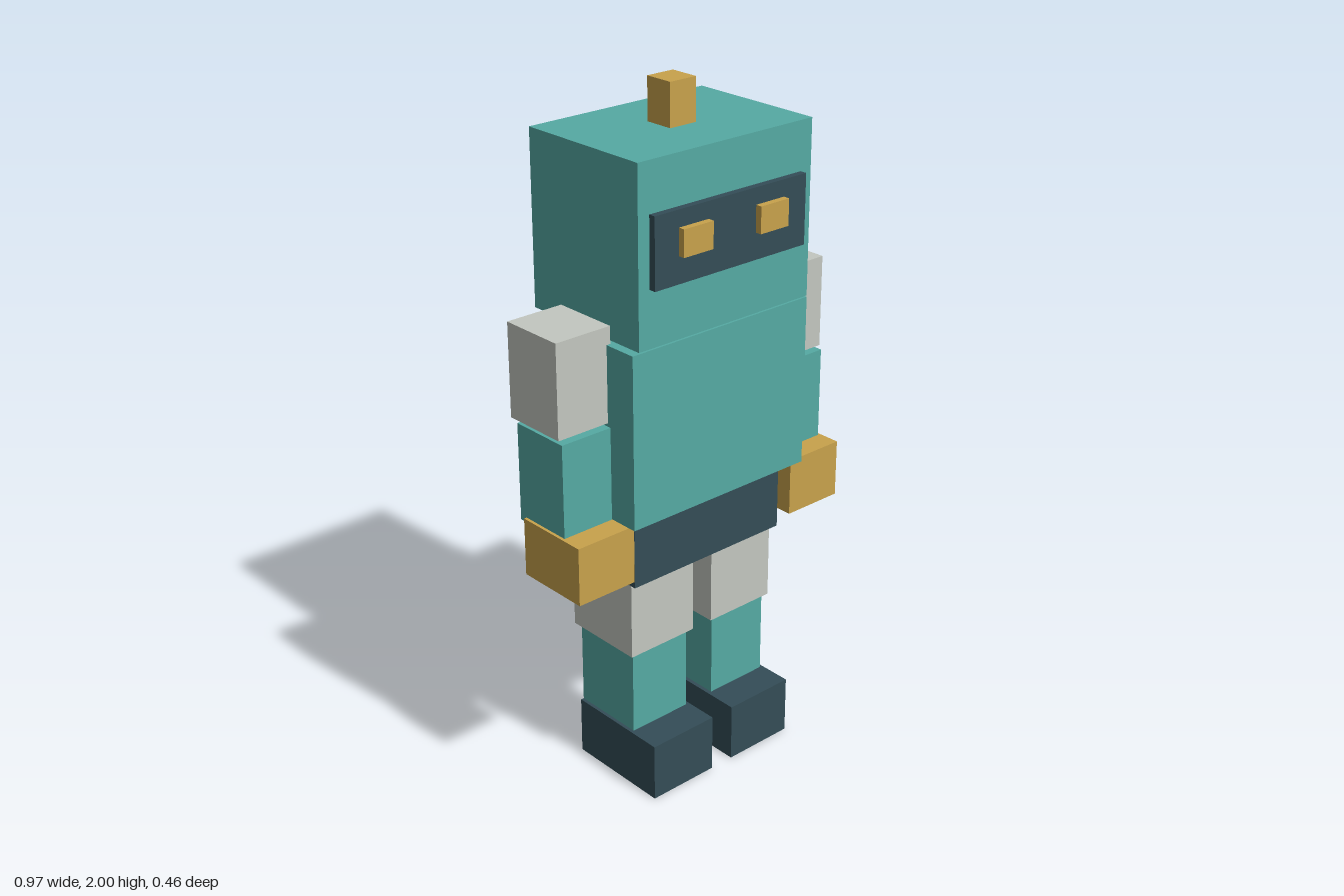
import * as THREE from 'three';

const material = (name, color) => {
  const m = new THREE.MeshStandardMaterial({ color });
  m.name = name;
  return m;
};

export function createModel() {
  const teal = material('teal', 0x55aaa3);
  const grey = material('light grey', 0xc3c7c0);
  const gold = material('gold', 0xc8a24c);
  const dark = material('dark slate', 0x344d57);

  const robot = new THREE.Group();
  robot.name = 'robot';

  // Box given by its extents: [min, max] on each axis
  const block = (parent, name, mat, [x0, x1], [y0, y1], [z0, z1]) => {
    const mesh = new THREE.Mesh(new THREE.BoxGeometry(x1 - x0, y1 - y0, z1 - z0), mat);
    mesh.position.set((x0 + x1) / 2, (y0 + y1) / 2, (z0 + z1) / 2);
    mesh.name = name;
    parent.add(mesh);
  };

  // Head and body
  block(robot, 'antenna', gold, [-0.044, 0.044], [1.88, 2], [-0.065, 0.023]);
  block(robot, 'head', teal, [-0.3, 0.3], [1.385, 1.88], [-0.232, 0.191]);
  block(robot, 'visor', dark, [-0.263, 0.263], [1.545, 1.742], [0.191, 0.211]);
  block(robot, 'torso', teal, [-0.312, 0.312], [0.876, 1.375], [-0.22, 0.18]);
  block(robot, 'pelvis', dark, [-0.27, 0.27], [0.665, 0.876], [-0.165, 0.13]);

  // Paired parts, mirrored across x
  for (const [side, s] of [['left', 1], ['right', -1]]) {
    const span = (a, b) => (s > 0 ? [a, b] : [-b, -a]);

    block(robot, `${side}Eye`, gold, span(0.083, 0.183), [1.62, 1.695], [0.211, 0.23]);

    const arm = new THREE.Group();
    arm.name = `${side}Arm`;
    block(arm, 'upperArm', grey, span(0.299, 0.477), [1.155, 1.425], [-0.12, 0.078]);
    block(arm, 'forearm', teal, span(0.302, 0.474), [0.86, 1.145], [-0.098, 0.088]);
    block(arm, 'hand', gold, span(0.293, 0.483), [0.705, 0.875], [-0.073, 0.156]);

    const leg = new THREE.Group();
    leg.name = `${side}Leg`;
    block(leg, 'thigh', grey, span(0.035, 0.263), [0.43, 0.665], [-0.145, 0.106]);
    block(leg, 'shin', teal, span(0.05, 0.25), [0.175, 0.43], [-0.13, 0.094]);
    block(leg, 'foot', dark, span(0.038, 0.26), [0, 0.175], [-0.13, 0.195]);

    robot.add(arm, leg);
  }
  return robot;
}
